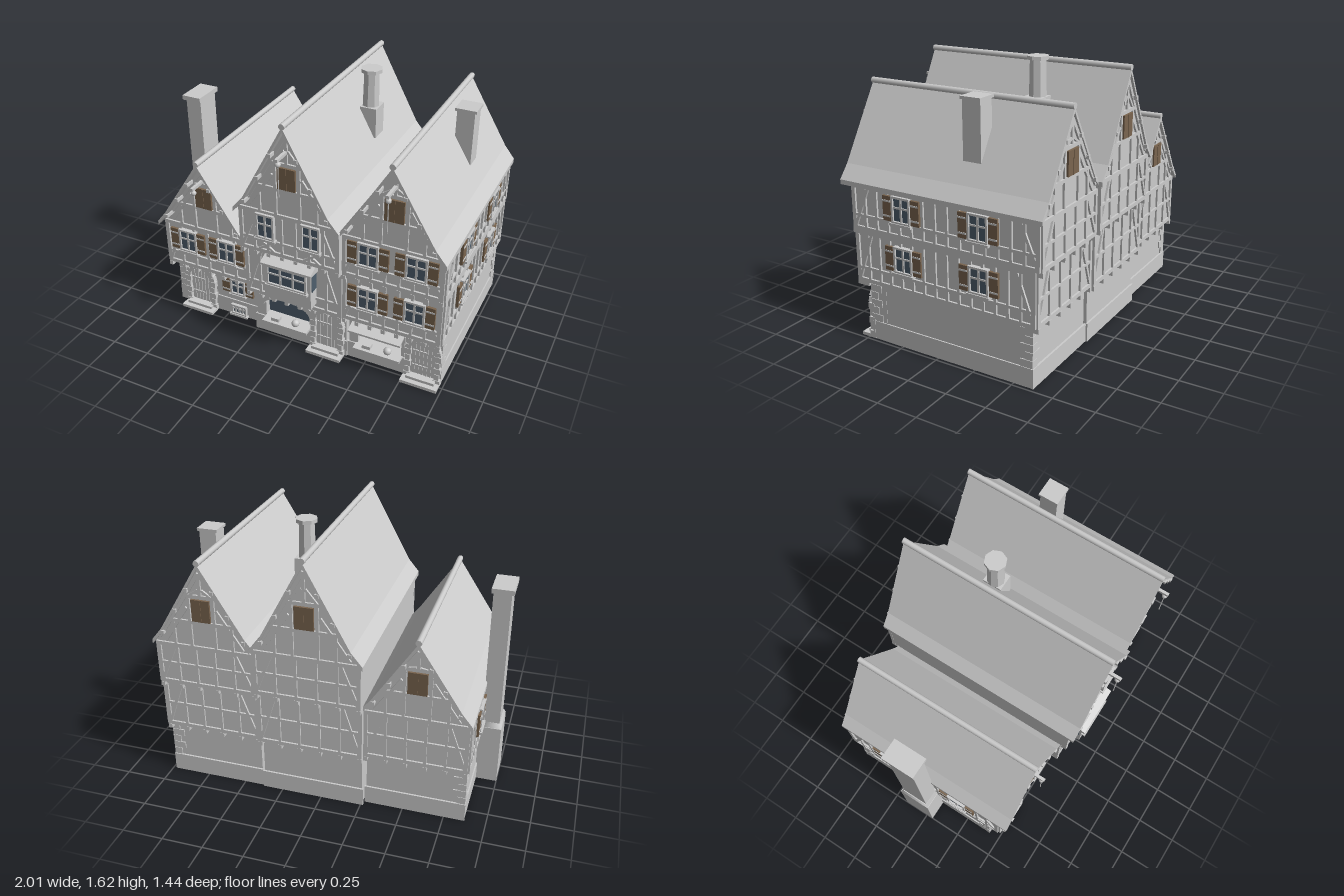
import * as THREE from 'three';

const grey = new THREE.MeshStandardMaterial({ color: 0xcccccc, name: 'pale grey' });
const brown = new THREE.MeshStandardMaterial({ color: 0x7a654f, name: 'shutter brown' });
const blue = new THREE.MeshStandardMaterial({ color: 0x4e5f6d, name: 'glass blue' });

function add(parent, name, geo, mat = grey) {
  const m = new THREE.Mesh(geo, mat);
  m.name = name;
  parent.add(m);
  return m;
}
function box(parent, name, x0, x1, y0, y1, z0, z1, mat) {
  const m = add(parent, name, new THREE.BoxGeometry(x1 - x0, y1 - y0, z1 - z0), mat);
  m.position.set((x0 + x1) / 2, (y0 + y1) / 2, (z0 + z1) / 2);
  return m;
}
function group(parent, name, x = 0, y = 0, z = 0, ry = 0) {
  const g = new THREE.Group();
  g.name = name;
  g.position.set(x, y, z);
  g.rotation.y = ry;
  parent.add(g);
  return g;
}
const poly = (pts) => new THREE.Shape(pts.map(([x, y]) => new THREE.Vector2(x, y)));
const extrude = (shape, depth) => new THREE.ExtrudeGeometry(shape, { depth, bevelEnabled: false, curveSegments: 10 });

// Timber between two points of a wall whose plane is local z = 0
function beam(parent, u0, v0, u1, v1, w = 0.02) {
  const m = add(parent, 'timber', new THREE.BoxGeometry(Math.hypot(u1 - u0, v1 - v0), w, 0.022));
  m.position.set((u0 + u1) / 2, (v0 + v1) / 2, 0.001);
  m.rotation.z = Math.atan2(v1 - v0, u1 - u0);
}

// Cross-barred window, optionally with strapped shutters
function addWindow(parent, u, v, w, h, shutters = true, bars = 2) {
  const g = group(parent, 'window', u, v, 0);
  const a = w / 2, b = h / 2, f = 0.012;
  box(g, 'glass', -a, a, -b, b, 0.008, 0.015, blue);
  for (const s of [-1, 1]) {
    box(g, 'jamb', s * a - f / 2, s * a + f / 2, -b, b, 0, 0.026);
    box(g, 'rail', -a - f / 2, a + f / 2, s * b - f / 2, s * b + f / 2, 0, 0.028);
  }
  for (let i = 1; i < bars; i++) {
    const x = -a + (w * i) / bars;
    box(g, 'mullion', x - 0.006, x + 0.006, -b, b, 0, 0.022);
  }
  box(g, 'transom', -a, a, h * 0.08 - 0.005, h * 0.08 + 0.005, 0, 0.021);
  box(g, 'sill', -a - 0.015, a + 0.015, -b - 0.018, -b - 0.004, 0, 0.034);
  if (!shutters) return;
  for (const s of [-1, 1]) {
    const c = s * (a + 0.038);
    box(g, 'shutter', c - 0.028, c + 0.028, -b, b, 0.006, 0.022, brown);
    for (const t of [-1, 1]) box(g, 'strap', c - 0.026, c + 0.026, t * b * 0.6 - 0.005, t * b * 0.6 + 0.005, 0.01, 0.025);
  }
}

// Half-timbered storey face: rails, posts, corner braces and joist ends
function storeyFrame(parent, hw, y0, y1, posts, sill = 0.09) {
  beam(parent, -hw, y0 + 0.012, hw, y0 + 0.012, 0.024);
  beam(parent, -hw, y1 - 0.012, hw, y1 - 0.012, 0.024);
  beam(parent, -hw, y0 + sill, hw, y0 + sill, 0.016);
  for (let i = 0; i <= posts; i++) {
    const u = -hw + 0.011 + ((2 * hw - 0.022) * i) / posts;
    beam(parent, u, y0, u, y1, i % posts ? 0.016 : 0.024);
    if (posts < 8) box(parent, 'joistEnd', u - 0.012, u + 0.012, y0 - 0.028, y0, -0.07, 0.014);
  }
  for (const s of [-1, 1]) beam(parent, s * (hw - 0.015), y0 + 0.02, s * (hw - 0.115), y1 - 0.02, 0.017);
}

// Framing on a gable, with loading hatch
function gableFrame(parent, roof, hw, y0, hatchY) {
  const half = (y) => { // half width below the roof at height y
    const [k, e] = [roof.kink, roof.eave];
    const t = y + 0.035;
    return Math.min(hw, t > k[1] ? k[0] * (roof.top - t) / (roof.top - k[1]) : k[0] + (e[0] - k[0]) * (k[1] - t) / (k[1] - e[1]));
  };
  const apex = roof.top - 0.06;
  for (const y of [hatchY - 0.08, hatchY + 0.085]) beam(parent, -half(y), y, half(y), y, 0.02);
  beam(parent, 0, hatchY + 0.085, 0, apex, 0.018);
  const lo = hatchY - 0.08, hi = hatchY + 0.085;
  for (const s of [-1, 1]) {
    beam(parent, s * half(y0 + 0.03), y0 + 0.03, s * half(roof.kink[1]), roof.kink[1], 0.018);
    beam(parent, s * half(roof.kink[1]), roof.kink[1], 0, apex, 0.022);
    beam(parent, s * 0.075, y0, s * 0.075, hi, 0.017);
    beam(parent, s * (hw - 0.06), y0 + 0.01, s * 0.09, lo + 0.09, 0.017);
    beam(parent, s * 0.18, y0, s * 0.18, lo, 0.016);
    beam(parent, s * 0.01, apex - 0.1, s * half(hi) * 0.7, hi, 0.014);
  }
  box(parent, 'hatch', -0.056, 0.056, hatchY - 0.068, hatchY + 0.068, 0.004, 0.018, brown);
  box(parent, 'hatchSplit', -0.003, 0.003, hatchY - 0.068, hatchY + 0.068, 0.004, 0.021, brown);
}

// Rough stones around an arch, with alternating jamb blocks
function archStones(parent, cx, spring, rx, ry, n, jambs) {
  for (let i = 0; i < n; i++) {
    const a = (Math.PI * (i + 0.5)) / n;
    const m = add(parent, 'archStone', new THREE.BoxGeometry((Math.PI * (rx + ry) / 2 / n) * 1.12, 0.036, 0.05));
    m.position.set(cx + (rx + 0.015) * Math.cos(a), spring + (ry + 0.015) * Math.sin(a), 0.008);
    m.rotation.z = Math.atan2(Math.sin(a) / ry, Math.cos(a) / rx) - Math.PI / 2;
  }
  if (!jambs) return;
  for (const s of [-1, 1]) for (let i = 0; i < 5; i++) {
    const h = spring / 5, c = cx + s * (rx + 0.015), w = i % 2 ? 0.014 : 0.021;
    box(parent, 'jambStone', c - w, c + w, i * h + 0.002, (i + 1) * h - 0.002, -0.01, 0.033);
  }
}

// Arched plank door with two steps
function addDoor(parent, u) {
  const g = group(parent, 'door', u);
  const s = new THREE.Shape();
  s.moveTo(-0.075, 0.03).lineTo(0.075, 0.03).lineTo(0.075, 0.225).absarc(0, 0.225, 0.075, 0, Math.PI).closePath();
  add(g, 'doorLeaf', extrude(s, 0.014));
  for (const x of [-0.05, -0.025, 0, 0.025, 0.05]) box(g, 'plankStrip', x - 0.003, x + 0.003, 0.04, 0.225 + Math.sqrt(0.0048 - x * x), 0.01, 0.019);
  for (const y of [0.1, 0.21]) box(g, 'hinge', -0.065, 0.03, y, y + 0.01, 0.01, 0.022);
  archStones(g, 0, 0.225, 0.078, 0.078, 9, true);
  box(g, 'lowerStep', -0.115, 0.115, 0, 0.02, 0, 0.09);
  box(g, 'upperStep', -0.09, 0.09, 0.02, 0.038, 0, 0.06);
}

// Counter with a tray and a round jar
function addCounter(parent, u, hw) {
  box(parent, 'counter', u - hw, u + hw, 0.115, 0.132, -0.09, 0.07);
  box(parent, 'tray', u - hw * 0.65, u - hw * 0.3, 0.132, 0.155, 0.01, 0.05);
  const jar = add(parent, 'jar', new THREE.SphereGeometry(0.025, 12, 8));
  jar.position.set(u + hw * 0.4, 0.152, 0.03);
}

const houses = [
  { name: 'leftHouse', x0: -0.875, x1: -0.265, top: 1.16, eave: 0.69, hw: 0.32, roofZ: [-0.65, 0.57], hatch: 0.905, ground: [-0.585, 0.42], floors: [[0.36, 0.68, -0.62, 0.505]], hoist: [1.025, 0.63] },
  { name: 'middleHouse', x0: -0.265, x1: 0.375, top: 1.575, eave: 1.0, hw: 0.335, roofZ: [-0.71, 0.65], hatch: 1.243, ground: [-0.62, 0.475], floors: [[0.36, 0.71, -0.655, 0.56], [0.71, 1.0, -0.685, 0.6]], hoist: [1.41, 0.72] },
  { name: 'rightHouse', x0: 0.375, x1: 0.98, top: 1.475, eave: 0.965, hw: 0.325, roofZ: [-0.685, 0.63], hatch: 1.187, ground: [-0.61, 0.465], floors: [[0.36, 0.68, -0.64, 0.55], [0.68, 0.955, -0.665, 0.56]], hoist: [1.335, 0.69] },
];

function buildHouse(root, h, index) {
  const g = group(root, h.name), cx = (h.x0 + h.x1) / 2, hw = (h.x1 - h.x0) / 2;
  const [gb, gf] = h.ground;
  const outer = index === 0 ? -1 : index === 2 ? 1 : 0;

  // Ground storey: core, front wall with shop opening, plinth
  const gx0 = h.x0 + 0.008, gx1 = h.x1 - 0.008;
  box(g, 'groundCore', h.x0 + 0.01, h.x1 - 0.01, 0, 0.37, gb, gf - (index === 2 ? 0.1 : 0.05));
  const wall = poly([[gx0, 0], [gx1, 0], [gx1, 0.37], [gx0, 0.37]]);
  const hole = new THREE.Path();
  if (index === 1) hole.moveTo(-0.19, 0.13).lineTo(0.13, 0.13).lineTo(0.13, 0.235).absellipse(-0.03, 0.235, 0.16, 0.065, 0, Math.PI).closePath();
  if (index === 2) hole.moveTo(0.435, 0.13).lineTo(0.735, 0.13).lineTo(0.735, 0.32).lineTo(0.435, 0.32).closePath();
  if (index) wall.holes.push(hole);
  const depth = index === 2 ? 0.1 : 0.05;
  add(g, 'groundFront', extrude(wall, depth)).position.z = gf - depth;
  box(g, 'plinthBack', h.x0, h.x1, 0, 0.115, gb - 0.012, gb);
  box(g, 'plinthFront', h.x0, h.x1, 0, 0.115, gf - 0.01, gf + 0.008);
  if (outer) {
    const e = outer > 0 ? h.x1 - 0.01 : h.x0 + 0.01;
    box(g, 'plinthSide', e - 0.008, e + 0.008, 0, 0.115, gb - 0.012, gf + 0.008);
    for (const [z, d] of [[gb, 1], [gf, -1]]) for (let i = 0; i < 5; i++) {
      const [lx, lz] = i % 2 ? [0.07, 0.042] : [0.042, 0.07];
      const xs = [e + outer * 0.007, e - outer * lx].sort((a, b) => a - b);
      const zs = [z - d * 0.008, z + d * lz].sort((a, b) => a - b);
      box(g, 'cornerStone', ...xs, 0.117 + i * 0.047, 0.161 + i * 0.047, ...zs);
    }
  }

  // Jettied storeys with framing on every exposed face
  h.floors.forEach(([y0, y1, zb, zf], i) => {
    box(g, 'storey', h.x0, h.x1, y0, y1, zb, zf);
    storeyFrame(group(g, 'frontFrame', cx, 0, zf), hw, y0, y1, index === 0 ? 6 : 7);
    storeyFrame(group(g, 'backFrame', cx, 0, zb, Math.PI), hw, y0, y1, 5, (y1 - y0) * 0.5);
    if (outer) {
      const zc = (zb + zf) / 2, side = group(g, 'sideFrame', outer > 0 ? h.x1 : h.x0, 0, zc, outer * Math.PI / 2);
      storeyFrame(side, (zf - zb) / 2, y0, y1, 15);
      for (const z of [0.205, -0.298]) addWindow(side, -outer * (z - zc), (y0 + y1) / 2 + 0.035, 0.115, 0.145);
    }
  });

  // Roof with flared eaves, ridge tile and purlin ends
  const roof = { top: h.top, kink: [h.hw * 0.8, h.eave + 0.08], eave: [h.hw, h.eave] };
  const half = [roof.eave, roof.kink, [0, h.top]];
  const mirror = (p) => p.map(([x, y]) => [-x, y]).reverse();
  const line = [...half, ...mirror(half).slice(1)];
  const under = [...line].reverse().map(([x, y]) => [x, y - 0.028]);
  const [rb, rf] = h.roofZ;
  add(g, 'roof', extrude(poly([...line, ...under]), rf - rb)).position.set(cx, 0, rb);
  const ridge = add(g, 'ridgeTile', new THREE.CylinderGeometry(0.018, 0.018, rf - rb + 0.004, 10));
  ridge.rotation.x = Math.PI / 2;
  ridge.position.set(cx, h.top + 0.004, (rb + rf) / 2);
  for (const s of [-1, 1]) for (const t of [0.3, 0.62, 0.97]) {
    const x = cx + s * roof.kink[0] * t, y = h.top + (roof.kink[1] - h.top) * t - 0.035;
    box(g, 'purlin', x - 0.011, x + 0.011, y - 0.011, y + 0.011, rb - 0.007, rf + 0.007);
  }

  // Gable walls
  const [, y1, zb, zf] = h.floors[h.floors.length - 1];
  const k = [roof.kink[0] - 0.004, roof.kink[1] - 0.02];
  const gable = poly([[-hw, y1 - 0.01], [hw, y1 - 0.01], [hw, h.eave + 0.005], k, [0, h.top - 0.02], [-k[0], k[1]], [-hw, h.eave + 0.005]]);
  add(g, 'gable', extrude(gable, zf - zb)).position.set(cx, 0, zb);
  gableFrame(group(g, 'frontGableFrame', cx, 0, zf), roof, hw, y1, h.hatch);
  gableFrame(group(g, 'backGableFrame', cx, 0, zb, Math.PI), roof, hw, y1, h.hatch);

  // Hoist: arm, pulley and rope
  const [hy, hz] = h.hoist;
  box(g, 'hoistArm', cx - 0.009, cx + 0.009, hy - 0.009, hy + 0.009, zf, hz);
  add(g, 'pulley', new THREE.SphereGeometry(0.017, 10, 8)).position.set(cx, hy - 0.03, hz - 0.02);
  add(g, 'rope', new THREE.CylinderGeometry(0.003, 0.003, 0.2, 6)).position.set(cx, hy - 0.13, hz - 0.02);
}

export function createModel() {
  const root = new THREE.Group();
  root.name = 'timberTownhouses';
  houses.forEach((h, i) => buildHouse(root, h, i));

  // Left house front
  const a = group(root, 'leftHouseFront', 0, 0, 0.505), a0 = group(root, 'leftHouseGround', 0, 0, 0.42);
  for (const x of [-0.71, -0.43]) addWindow(a, x, 0.56, 0.115, 0.145);
  addDoor(a0, -0.7);
  addWindow(a0, -0.42, 0.235, 0.095, 0.105);
  addWindow(a0, -0.42, 0.052, 0.1, 0.06, false, 4);

  // Middle house front, with braces below the upper windows
  const b = group(root, 'middleHouseFront', 0, 0, 0.6), b0 = group(root, 'middleHouseGround', 0, 0, 0.475);
  for (const x of [-0.09, 0.2]) {
    addWindow(b, x, 0.9, 0.105, 0.155, false);
    for (const s of [-1, 1]) beam(b, x - s * 0.05, 0.73, x + s * 0.05, 0.8, 0.014);
  }
  addDoor(b0, 0.245);
  box(b0, 'shopGlass', -0.19, 0.13, 0.13, 0.3, -0.049, -0.042, blue);
  archStones(b0, -0.03, 0.235, 0.16, 0.065, 11, false);
  addCounter(b0, -0.03, 0.155);

  // Bay window with lean-to roof and tapered foot
  const bay = group(root, 'bayWindow', 0.055, 0, 0);
  box(bay, 'bayBody', -0.153, 0.153, 0.41, 0.665, 0.55, 0.635);
  const bf = group(bay, 'bayFront', 0, 0, 0.626);
  addWindow(bf, 0, 0.592, 0.25, 0.125, false, 3);
  for (const s of [-1, 1]) box(bay, 'baySideGlass', s * 0.154 - 0.003, s * 0.154 + 0.003, 0.53, 0.65, 0.565, 0.622, blue);
  const lean = (pts, w) => {
    const geo = extrude(poly(pts), w); // profile drawn as (z, y), swept along x
    geo.rotateY(-Math.PI / 2).translate(w / 2, 0, 0);
    return geo;
  };
  add(bay, 'bayRoof', lean([[0.55, 0.645], [0.66, 0.66], [0.66, 0.672], [0.55, 0.715]], 0.33));
  add(bay, 'bayFoot', lean([[0.5, 0.365], [0.53, 0.365], [0.635, 0.41], [0.5, 0.41]], 0.28));

  // Right house front, shop awning and its struts
  const c = group(root, 'rightHouseFront', 0, 0, 0.55), c0 = group(root, 'rightHouseGround', 0, 0, 0.465);
  for (const x of [0.535, 0.82]) for (const [y, z] of [[0.55, 0], [0.86, 0.01]]) addWindow(group(c, 'windowBay', 0, 0, z), x, y, 0.115, 0.145);
  addDoor(c0, 0.865);
  addCounter(c0, 0.585, 0.15);
  add(c0, 'awning', lean([[-0.01, 0.315], [0.11, 0.278], [0.11, 0.29], [-0.01, 0.33]], 0.33)).position.x = 0.585;
  for (const s of [-1, 1]) {
    box(c0, 'shopPost', 0.585 + s * 0.15 - 0.01, 0.585 + s * 0.15 + 0.01, 0.13, 0.32, -0.01, 0.012);
    beam(c0, 0.585 + s * 0.15, 0.235, 0.585 + s * 0.09, 0.3, 0.014);
  }

  // Outside chimney on the left, with sloping shoulders
  const ch = group(root, 'leftChimney', -0.935, 0, -0.06);
  box(ch, 'chimneyBase', -0.065, 0.07, 0, 0.385, -0.105, 0.105);
  add(ch, 'chimneyShoulder', new THREE.CylinderGeometry(0.078, 0.092, 0.03, 4).rotateY(Math.PI / 4).scale(1, 1, 1.55)).position.y = 0.4;
  box(ch, 'chimneyShaft', -0.05, 0.055, 0.385, 1.28, -0.085, 0.085);
  box(ch, 'chimneyCap', -0.065, 0.065, 1.28, 1.31, -0.105, 0.105);

  // Octagonal chimney on the middle roof, square one on the right
  const oc = group(root, 'middleChimney', 0.207, 0, -0.195);
  box(oc, 'chimneyBase', -0.045, 0.06, 1.2, 1.39, -0.06, 0.06);
  add(oc, 'chimneyShaft', new THREE.CylinderGeometry(0.048, 0.054, 0.25, 8).toNonIndexed()).position.y = 1.49;
  add(oc, 'chimneyCap', new THREE.CylinderGeometry(0.066, 0.066, 0.022, 8)).position.y = 1.614;
  oc.children.slice(1).forEach((m) => { m.geometry = m.geometry.toNonIndexed(); m.geometry.computeVertexNormals(); });
  const sq = group(root, 'rightChimney', 0.817, 0, -0.185);
  box(sq, 'chimneyShaft', -0.053, 0.053, 1.15, 1.49, -0.057, 0.057);
  box(sq, 'chimneyCap', -0.064, 0.064, 1.49, 1.507, -0.064, 0.064);
  return root;
}
